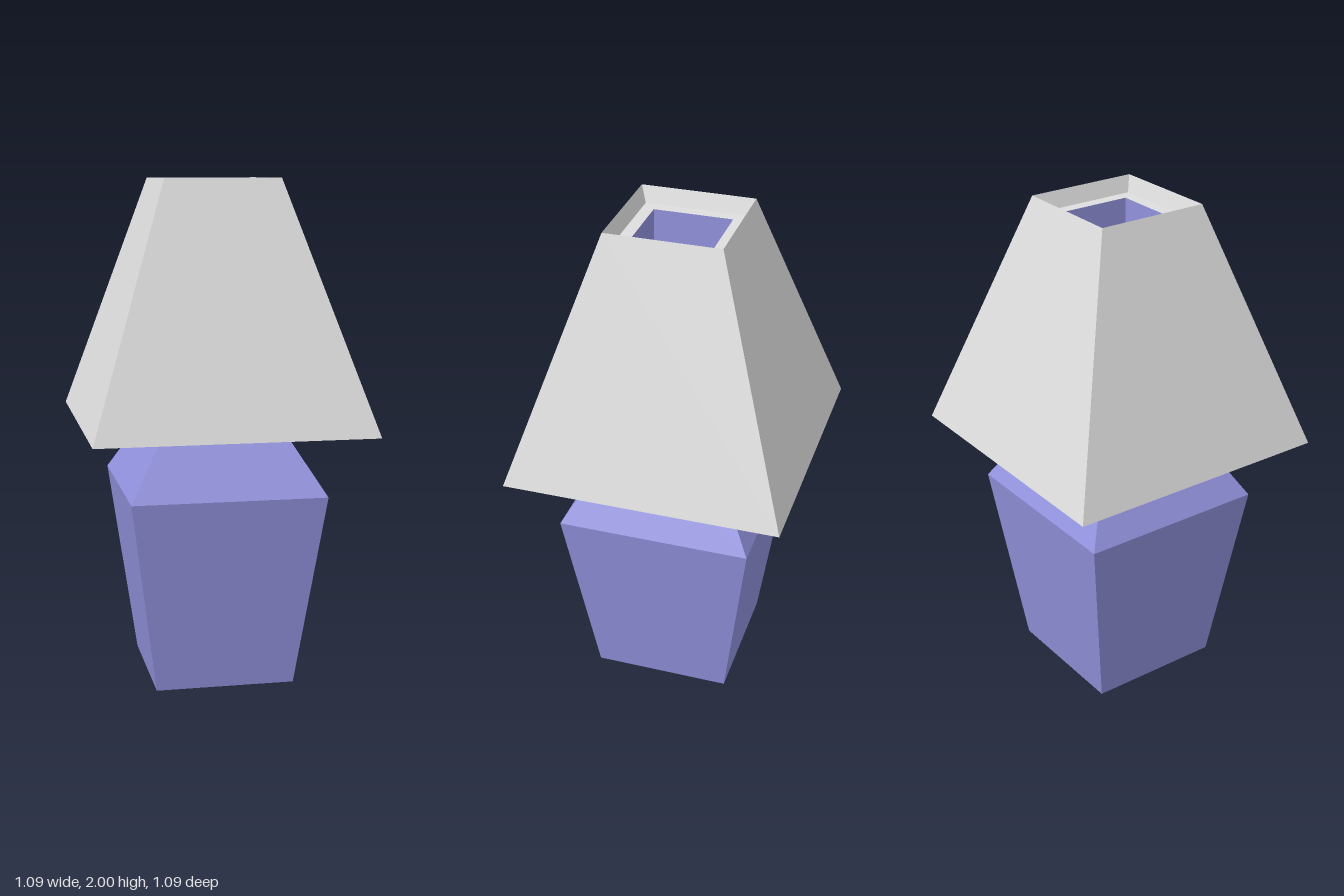
import * as THREE from 'three';

const grey = new THREE.MeshStandardMaterial({ color: 0xdedede, side: THREE.DoubleSide });
grey.name = 'shade grey';
const blue = new THREE.MeshStandardMaterial({ color: 0x9292de, side: THREE.DoubleSide });
blue.name = 'base blue';
const wood = new THREE.MeshStandardMaterial({ color: 0xdea873, side: THREE.DoubleSide });
wood.name = 'trim brown';

// Square loft: profile of [half width, height]; side 0 is +x, going round by quarter turns
function squareLoft(name, profile, material, firstSide = 0, sides = 4) {
  const points = profile.map(([half, y]) => new THREE.Vector2(half * Math.SQRT2, y));
  const start = Math.PI / 4 + firstSide * Math.PI / 2;
  const geometry = new THREE.LatheGeometry(points, sides, start, sides * Math.PI / 2).toNonIndexed();
  geometry.computeVertexNormals(); // flat faces
  const mesh = new THREE.Mesh(geometry, material);
  mesh.name = name;
  return mesh;
}

export function createModel() {
  const lamp = new THREE.Group();
  lamp.name = 'tableLamp';

  // Base: tapered body with sloping shoulders, then a hollow neck
  const base = new THREE.Group();
  base.name = 'base';
  base.add(
    squareLoft('body', [[0, 0], [0.277, 0], [0.385, 0.78], [0.157, 1.16]], blue),
    squareLoft('neck', [[0.157, 1.16], [0.157, 1.936]], blue),
    squareLoft('neckFloor', [[0.157, 1.16], [0, 1.16]], blue),
  );

  // Shade: outer and inner skins, recessed top collar and bottom rim
  const shade = new THREE.Group();
  shade.name = 'shade';
  const rim = [[0.51, 1.037], [0.545, 1.037]];
  shade.add(
    squareLoft('shadeOuter', [[0.545, 1.037], [0.227, 2]], grey),
    squareLoft('shadeTopLip', [[0.227, 2], [0.205, 1.936]], grey),
    squareLoft('shadeCollar', [[0.205, 1.936], [0.157, 1.936]], grey),
    squareLoft('shadeInner', [[0.205, 1.936], [0.51, 1.037]], grey),
    squareLoft('rimTrim', rim, wood, 0, 1),
    squareLoft('rim', rim, grey, 1, 3),
  );

  lamp.add(base, shade);
  return lamp;
}
